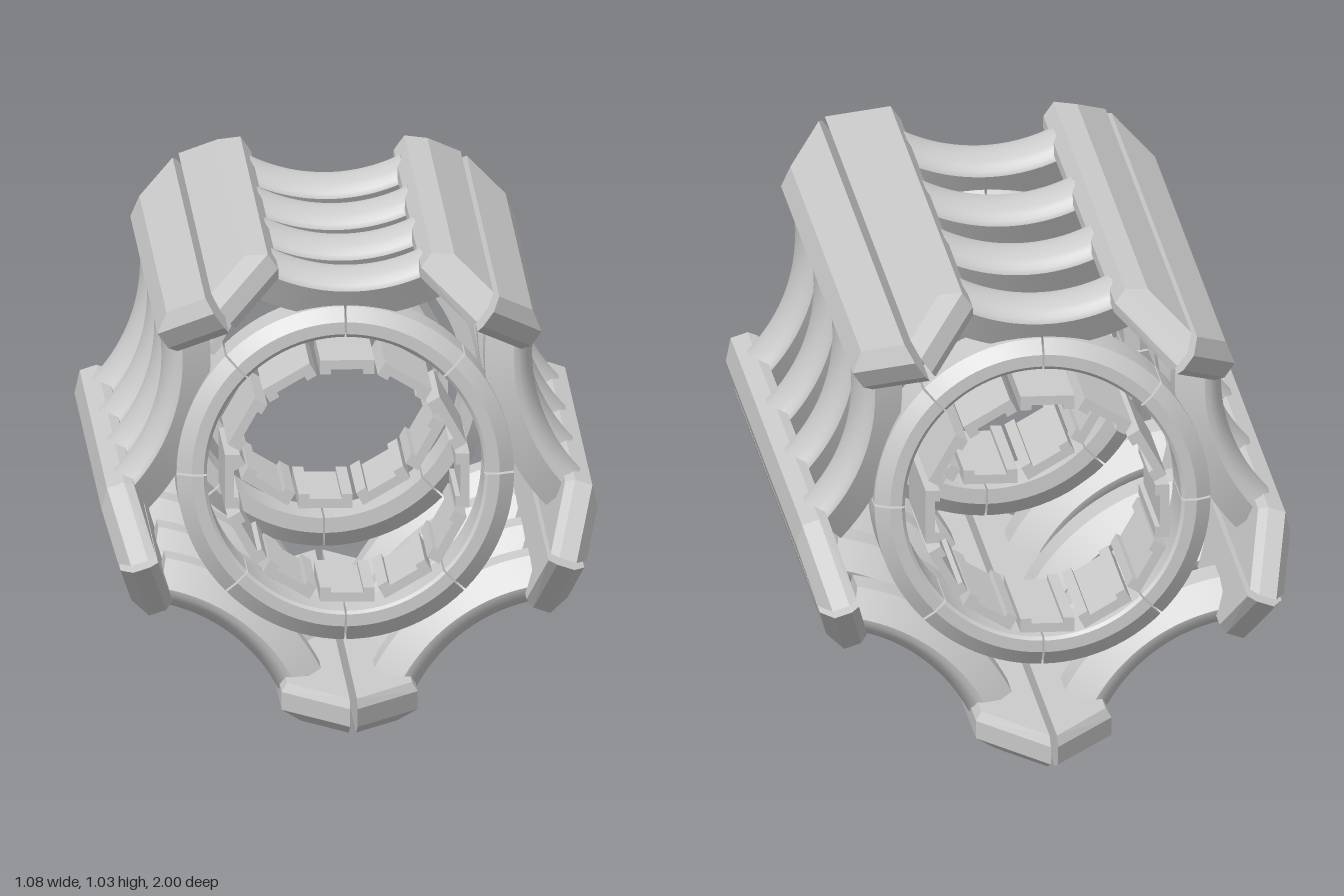
import * as THREE from 'three';
import { mergeGeometries, toCreasedNormals } from 'three/addons/utils/BufferGeometryUtils.js';
import { ConvexGeometry } from 'three/addons/geometries/ConvexGeometry.js';

const AXIS_Y = 0.533; // height of the central axis
const material = new THREE.MeshStandardMaterial({ color: 0xcccccc, side: THREE.DoubleSide });

function addMesh(parent, name, geometry) {
  const mesh = new THREE.Mesh(geometry, material);
  mesh.name = name;
  parent.add(mesh);
  return mesh;
}

// Closed (radius, z) profile swept about z, centred on the -y direction, with end caps
function arcSolid(profile, halfAngle, segments) {
  const points = profile.map(([r, z]) => new THREE.Vector2(r, z));
  const sweep = new THREE.LatheGeometry([...points, points[0].clone()], segments, -halfAngle, 2 * halfAngle);
  const caps = [-halfAngle, halfAngle].map((phi) =>
    new THREE.ShapeGeometry(new THREE.Shape(points)).rotateY(phi - Math.PI / 2));
  const merged = mergeGeometries([sweep, ...caps].map((g) => g.toNonIndexed()));
  return toCreasedNormals(merged.rotateX(Math.PI / 2), 0.5);
}

// One half of a rail: a bevelled plank with ends tapering to a point; s mirrors it in x
function railHalf(s) {
  const points = [];
  const add = (x, r, z) => {
    for (const end of [-1, 1]) points.push(new THREE.Vector3(s * x, -r, end * z));
  };
  // outer face
  add(0.008, 0.533, 0.92);
  add(0.105, 0.533, 0.76);
  // outline band
  for (const r of [0.507, 0.468]) {
    add(0.008, r, 1);
    add(0.148, r, 0.77);
  }
  // inner face
  add(0.008, 0.449, 0.975);
  add(0.136, 0.449, 0.76);
  return new ConvexGeometry(points);
}

// Curved rib section: rounded outer side, bevelled inner side
function ribProfile() {
  const profile = [[0.475, -0.05], [0.475, 0.05]];
  for (let i = 0; i <= 12; i++) {
    const a = (i / 12) * Math.PI;
    profile.push([0.413 - 0.043 * Math.sin(a), 0.085 * Math.cos(a)]);
  }
  return profile;
}

// Shallow channel plate, extruded along z
function clipGeometry() {
  const shape = new THREE.Shape([
    [-0.059, -0.266], [0.059, -0.266], [0.059, -0.235], [0.035, -0.235],
    [0.035, -0.246], [-0.035, -0.246], [-0.035, -0.235], [-0.059, -0.235],
  ].map(([x, y]) => new THREE.Vector2(x, y)));
  return new THREE.ExtrudeGeometry(shape, { depth: 0.36, bevelEnabled: false }).translate(0, 0, -0.18);
}

export function createModel() {
  const model = new THREE.Group();
  model.name = 'ribbedCage';
  const frame = new THREE.Group();
  frame.name = 'frame';
  frame.position.y = AXIS_Y;
  model.add(frame);

  // Five split rails, with four concave ribs between each neighbouring pair
  const halves = [railHalf(1), railHalf(-1)];
  const rib = arcSolid(ribProfile(), 0.455, 20).translate(0, 0.813, 0);
  for (let k = 0; k < 5; k++) {
    const side = new THREE.Group();
    side.name = 'side';
    side.rotation.z = (k * 2 * Math.PI) / 5;
    frame.add(side);
    halves.forEach((g) => addMesh(side, 'railHalf', g));
    for (const z of [-0.605, -0.2, 0.2, 0.605]) addMesh(side, 'rib', rib).position.z = z;
  }

  // A segmented collar with an inner circle of clips near each end
  const collar = arcSolid([
    [0.302, -0.095], [0.335, -0.095], [0.367, -0.072],
    [0.367, 0.072], [0.335, 0.095], [0.309, 0.095], [0.302, 0.088],
  ], Math.PI / 8 - 0.007, 12);
  const clip = clipGeometry();
  for (const end of [-1, 1]) {
    const ring = new THREE.Group();
    ring.name = end > 0 ? 'frontRing' : 'backRing';
    ring.position.set(-0.006, 0, end * 0.61);
    frame.add(ring);
    for (let i = 0; i < 8; i++) {
      const segment = addMesh(ring, 'collarSegment', collar);
      segment.rotation.z = ((i + 0.5) * Math.PI) / 4;
      if (end < 0) segment.rotation.set(0, Math.PI, segment.rotation.z);
    }
    for (let i = 0; i < 12; i++) addMesh(ring, 'clip', clip).rotation.z = (i * Math.PI) / 6;
  }
  return model;
}
